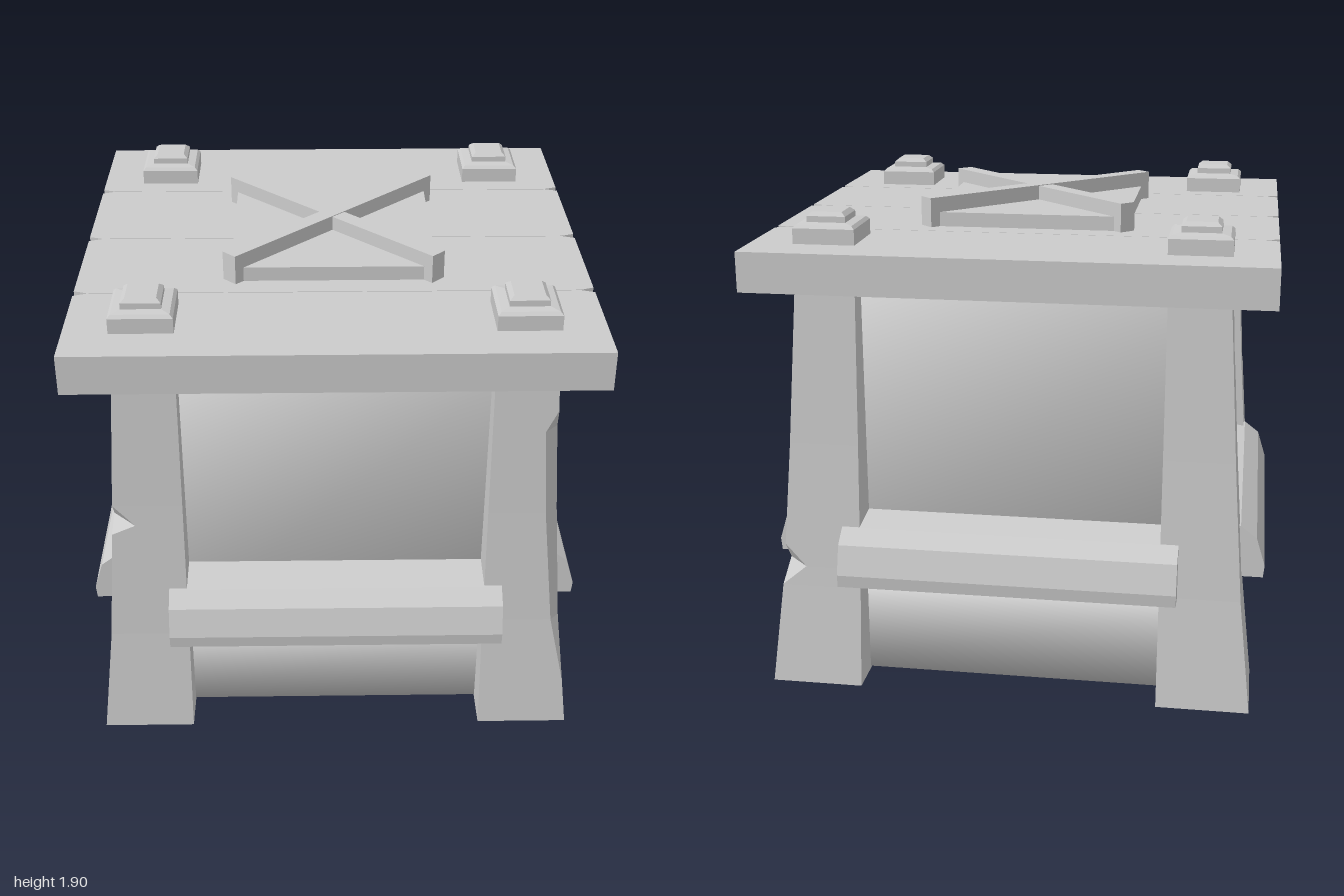
import * as THREE from 'three';
import { mergeVertices } from 'three/addons/utils/BufferGeometryUtils.js';

const smooth = new THREE.MeshStandardMaterial({ color: 0xcccccc });
const flat = new THREE.MeshStandardMaterial({ color: 0xcccccc, flatShading: true });

// Skin a stack of closed rings (each a list of [x, y, z]) and cap both ends.
function loft(rings, flip = false) {
  const n = rings[0].length, index = [];
  const tri = (a, b, c) => (flip ? index.push(a, c, b) : index.push(a, b, c));
  for (let r = 0; r < rings.length - 1; r++) {
    for (let i = 0; i < n; i++) {
      const j = (i + 1) % n, a = r * n, b = a + n;
      tri(a + i, b + i, b + j);
      tri(a + i, b + j, a + j);
    }
  }
  const top = (rings.length - 1) * n;
  for (let i = 1; i < n - 1; i++) {
    tri(0, i, i + 1);
    tri(top, top + i + 1, top + i);
  }
  const g = new THREE.BufferGeometry();
  g.setAttribute('position', new THREE.Float32BufferAttribute(rings.flat(2), 3));
  g.setIndex(index);
  g.computeVertexNormals();
  return g;
}

// Box whose normals are shared around its corners for a soft shade.
function softBox(w, y0, y1) {
  const box = new THREE.BoxGeometry(w, y1 - y0, w);
  box.deleteAttribute('normal');
  box.deleteAttribute('uv');
  const g = mergeVertices(box);
  g.computeVertexNormals();
  return g.translate(0, (y0 + y1) / 2, 0);
}

// Square stack from [half width, height] steps.
const steppedBlock = (steps) => loft(steps.map(([r, y]) =>
  [[-r, y, -r], [r, y, -r], [r, y, r], [-r, y, r]]));

const outerAt = (y) => {
  const p = [[0, 0.96], [0.45, 0.91], [1, 0.87], [1.64, 0.83]];
  const i = p.findIndex((q, k) => k > 0 && y <= q[0]);
  const [a, b] = [p[i - 1], p[i]];
  return a[1] + (b[1] - a[1]) * (y - a[0]) / (b[0] - a[0]);
};

// Tapered leg; each cut is [height, outer corner chamfer, inner edge chamfer].
function legGeometry(sx, sz, cuts) {
  const inn = 0.595;
  const levels = [[0, 0, 0], ...cuts, [1.64, 0, 0]];
  return loft(levels.map(([y, c, e]) => {
    const o = outerAt(y);
    return [[inn, inn], [o - e, inn], [o, inn + e], [o, o - c], [o - c, o], [inn, o]]
      .map(([x, z]) => [sx * x, y, sz * z]);
  }), sx * sz < 0);
}

export function createModel() {
  const model = new THREE.Group();
  const add = (name, geometry, material = flat, parent = model) => {
    const mesh = new THREE.Mesh(geometry, material);
    mesh.name = name;
    parent.add(mesh);
    return mesh;
  };

  // Chest body on a slightly wider base
  add('base', softBox(1.61, 0.01, 0.36), smooth);
  add('body', softBox(1.49, 0.3, 1.64), smooth);

  // Corner legs, each with its own worn nick
  const legs = [
    ['frontLeftLeg', 1, 1, [[0.2, 0, 0], [0.5, 0.035, 0], [1, 0.05, 0], [1.36, 0.05, 0], [1.45, 0, 0]]],
    ['frontRightLeg', -1, 1, [[0.45, 0, 0], [0.92, 0, 0], [0.96, 0.09, 0], [1.05, 0, 0]]],
    ['backLeftLeg', 1, -1, [[0.41, 0, 0], [0.49, 0.09, 0], [0.58, 0, 0], [1, 0, 0]]],
    ['backRightLeg', -1, -1, [[0.45, 0, 0], [1, 0, 0], [1.28, 0, 0], [1.37, 0, 0.06], [1.43, 0, 0]]],
  ];
  for (const [name, sx, sz, cuts] of legs) add(name, legGeometry(sx, sz, cuts));

  // Rails around the four sides
  const railProfile = new THREE.Shape([
    [0.72, 0.45], [0.995, 0.45], [1, 0.5], [0.965, 0.615], [0.9, 0.665], [0.72, 0.69],
  ].map(([x, y]) => new THREE.Vector2(x, y)));
  const railGeometry = new THREE.ExtrudeGeometry(railProfile, { depth: 1.33, bevelEnabled: false })
    .translate(0, 0, -0.665);
  ['leftRail', 'backRail', 'rightRail', 'frontRail'].forEach((name, i) => {
    add(name, railGeometry).rotation.y = i * Math.PI / 2;
  });

  // Lid of four planks, nicked where their ends meet
  const lid = new THREE.Group();
  lid.name = 'lid';
  model.add(lid);
  for (let i = 0; i < 4; i++) {
    const z0 = -1 + i * 0.5, z1 = z0 + 0.5;
    const a = i > 0 ? 0.02 : 0, b = i < 3 ? 0.02 : 0;
    const gap0 = a ? 0.002 : 0, gap1 = b ? 0.002 : 0;
    const outline = [
      [-1, z0 + a], [-0.95, z0 + gap0], [0.95, z0 + gap0], [1, z0 + a],
      [1, z1 - b], [0.95, z1 - gap1], [-0.95, z1 - gap1], [-1, z1 - b],
    ].map(([x, z]) => new THREE.Vector2(x, z));
    const g = new THREE.ExtrudeGeometry(new THREE.Shape(outline), { depth: 0.155, bevelEnabled: false });
    add('plank', g.rotateX(Math.PI / 2).translate(0, 1.785, 0), flat, lid);
  }

  // Square bolts at the lid corners
  const boltGeometry = steppedBlock([
    [0.12, 1.78], [0.12, 1.845], [0.108, 1.857], [0.075, 1.862], [0.075, 1.885], [0.058, 1.9],
  ]);
  for (const x of [-0.71, 0.71]) {
    for (const z of [-0.71, 0.71]) add('bolt', boltGeometry).position.set(x, 0, z);
  }

  // Hatch panel with crossed bars
  add('hatchPanel', steppedBlock([[0.4, 1.78], [0.4, 1.842]]));
  [1, -1].forEach((s) => {
    const bar = add('crossBar', new THREE.BoxGeometry(1.146, 0.122, 0.07));
    bar.position.y = s > 0 ? 1.841 : 1.838;
    bar.rotation.y = s * Math.PI / 4;
  });

  return model;
}
